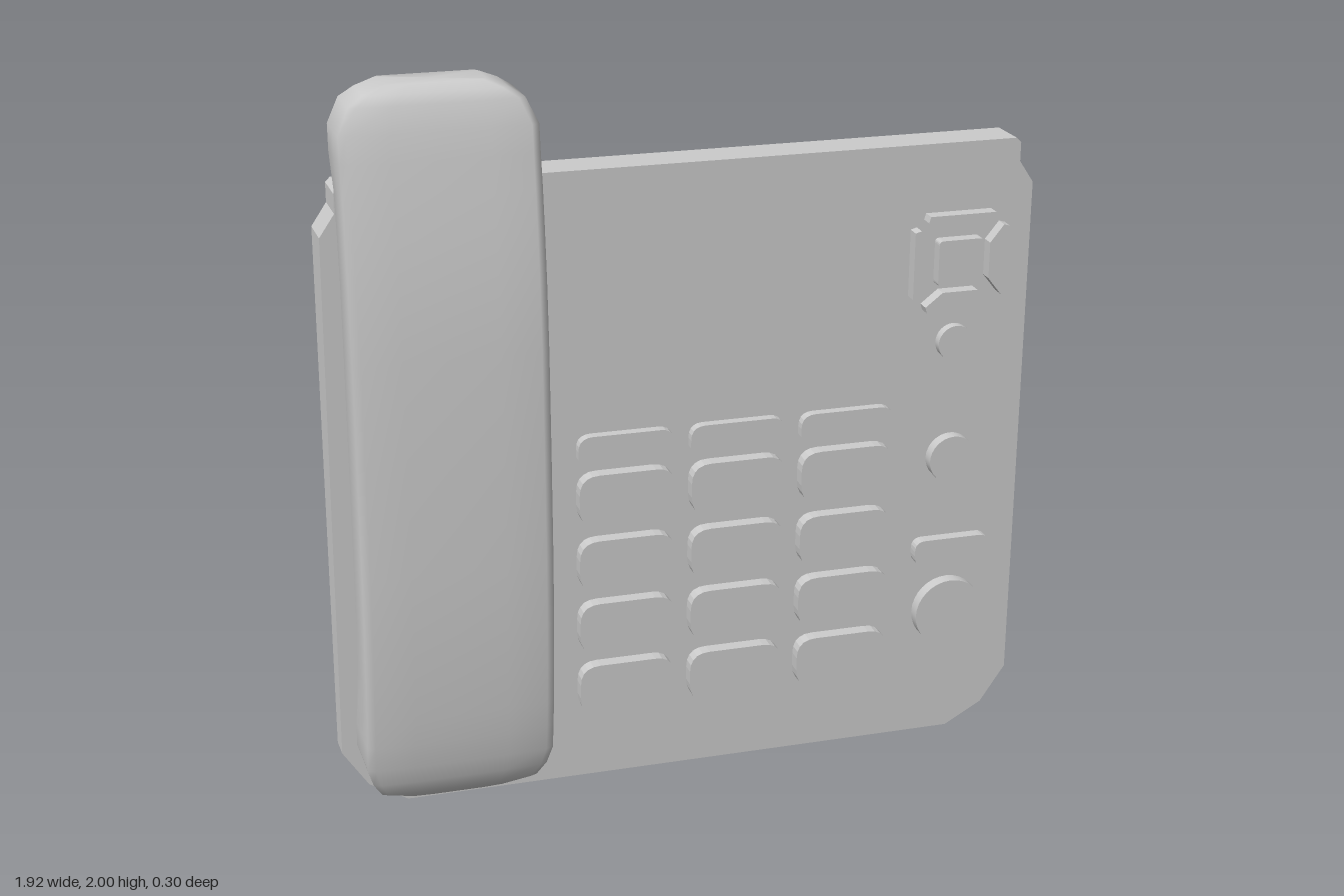
import * as THREE from 'three';

const material = new THREE.MeshStandardMaterial({ color: 0xcccccc });

function addMesh(parent, name, geometry) {
  const mesh = new THREE.Mesh(geometry, material);
  mesh.name = name;
  parent.add(mesh);
  return mesh;
}

const shapeOf = (points) => new THREE.Shape(points.map(([x, y]) => new THREE.Vector2(x, y)));

// Rounded rectangle around the origin, with separate top and bottom radii
function roundedRect(w, h, rTop, rBottom = rTop) {
  const x = w / 2, y = h / 2;
  const s = new THREE.Shape();
  s.moveTo(-x + rBottom, -y);
  s.lineTo(x - rBottom, -y);
  if (rBottom) s.quadraticCurveTo(x, -y, x, -y + rBottom);
  s.lineTo(x, y - rTop);
  s.quadraticCurveTo(x, y, x - rTop, y);
  s.lineTo(-x + rTop, y);
  s.quadraticCurveTo(-x, y, -x, y - rTop);
  s.lineTo(-x, -y + rBottom);
  if (rBottom) s.quadraticCurveTo(-x, -y, -x + rBottom, -y);
  return s;
}

// Flat slab with clipped corners; the front leans so the top is thicker
function bodyGeometry() {
  const half = [[0.785, 0], [0.89, 0.06], [0.96, 0.165], [0.96, 1.61], [0.92, 1.67], [0.92, 1.722], [0.907, 1.735]];
  const outline = [...half, ...half.slice().reverse().map(([x, y]) => [-x, y])];
  const geo = new THREE.ExtrudeGeometry(shapeOf(outline), { depth: 1, bevelEnabled: false });
  const p = geo.attributes.position;
  for (let i = 0; i < p.count; i++) {
    p.setZ(i, p.getZ(i) > 0.5 ? -0.085 + 0.033 * p.getY(i) : -0.15);
  }
  geo.computeVertexNormals();
  return geo;
}

// Handset lofted upward through closed cross-sections
function handsetGeometry() {
  // height, half width, front z, back z
  const sections = [
    [0.07, 0.13, 0.04, -0.07], [0.1, 0.21, 0.075, -0.083], [0.14, 0.235, 0.093, -0.085],
    [0.19, 0.25, 0.106, -0.086], [0.26, 0.25, 0.118, -0.084], [0.335, 0.25, 0.126, -0.04],
    [0.44, 0.25, 0.135, -0.015], [0.57, 0.25, 0.143, 0], [0.75, 0.25, 0.15, 0.003],
    [1.03, 0.25, 0.152, 0.003], [1.32, 0.25, 0.15, 0.003], [1.5, 0.25, 0.14, 0],
    [1.63, 0.25, 0.128, -0.015], [1.735, 0.25, 0.116, -0.033], [1.82, 0.25, 0.105, -0.088],
    [1.89, 0.25, 0.095, -0.09], [1.955, 0.22, 0.078, -0.09], [1.98, 0.18, 0.062, -0.085],
    [2, 0.13, 0.04, -0.075],
  ];
  // fraction of the half width, fraction of the depth
  const ring = [
    [1, 0.92], [1, 0.5], [1, 0.08], [0.94, 0], [0, 0], [-0.94, 0], [-1, 0.08], [-1, 0.5], [-1, 0.92],
    [-0.92, 0.97], [-0.5, 1], [0, 1], [0.5, 1], [0.92, 0.97],
  ];
  const n = ring.length, last = (sections.length - 1) * n;
  const pos = [], index = [];
  for (const [y, hw, front, back] of sections) {
    for (const [u, t] of ring) pos.push(-0.67 + u * hw, y, back + (front - back) * t);
  }
  for (let i = 0; i < sections.length - 1; i++) {
    for (let j = 0; j < n; j++) {
      const a = i * n + j, b = i * n + (j + 1) % n;
      index.push(a, b, b + n, a, b + n, a + n);
    }
  }
  // End caps
  const bottom = pos.length / 3, top = bottom + 1;
  pos.push(-0.67, 0.07, -0.015, -0.67, 2, -0.015);
  for (let j = 0; j < n; j++) {
    const k = (j + 1) % n;
    index.push(bottom, k, j, top, last + j, last + k);
  }
  const geo = new THREE.BufferGeometry();
  geo.setAttribute('position', new THREE.Float32BufferAttribute(pos, 3));
  geo.setIndex(index);
  geo.computeVertexNormals();
  return geo;
}

export function createModel() {
  const model = new THREE.Group();
  model.name = 'deskPhone';
  addMesh(model, 'body', bodyGeometry());
  addMesh(model, 'handset', handsetGeometry());

  // All keys stand on the leaning front face
  const keys = new THREE.Group();
  keys.name = 'keys';
  keys.position.z = -0.085;
  keys.rotation.x = Math.atan(0.033);
  model.add(keys);

  function addKey(name, shape, x, y, height, turn = 0) {
    const geo = new THREE.ExtrudeGeometry(shape, { depth: height + 0.01, bevelEnabled: false, curveSegments: 5 });
    const key = addMesh(keys, name, geo);
    key.position.set(x, y, -0.01);
    key.rotation.z = turn;
  }

  // Number pad and the row of soft keys above it
  const padShape = roundedRect(0.265, 0.148, 0.055);
  const softShape = roundedRect(0.265, 0.062, 0.04, 0);
  for (const x of [-0.175, 0.135, 0.445]) {
    for (const y of [0.835, 0.645, 0.46, 0.275]) addKey('numberKey', padShape, x, y, 0.038);
    addKey('softKey', softShape, x, 0.985, 0.027);
  }

  // Four direction keys around a square centre key
  const arrow = shapeOf([[-0.05, 0.08], [0.05, 0.08], [0.098, 0.118], [0.093, 0.135], [-0.093, 0.135], [-0.098, 0.118]]);
  for (let i = 0; i < 4; i++) addKey('directionKey', arrow, 0.75, 1.412, 0.037, i * Math.PI / 2);
  addKey('centreKey', roundedRect(0.128, 0.128, 0.012), 0.75, 1.412, 0.035);

  // Round keys
  for (const [x, y, r, h] of [[0.75, 1.18, 0.05, 0.026], [0.755, 0.842, 0.068, 0.034], [0.765, 0.375, 0.1, 0.036]]) {
    const geo = new THREE.CylinderGeometry(r, r, h + 0.01, 32).rotateX(Math.PI / 2);
    addMesh(keys, 'roundKey', geo).position.set(x, y, h / 2 - 0.005);
  }

  // Volume rocker
  addKey('volumeKey', roundedRect(0.22, 0.074, 0.03), 0.765, 0.567, 0.033);
  return model;
}
